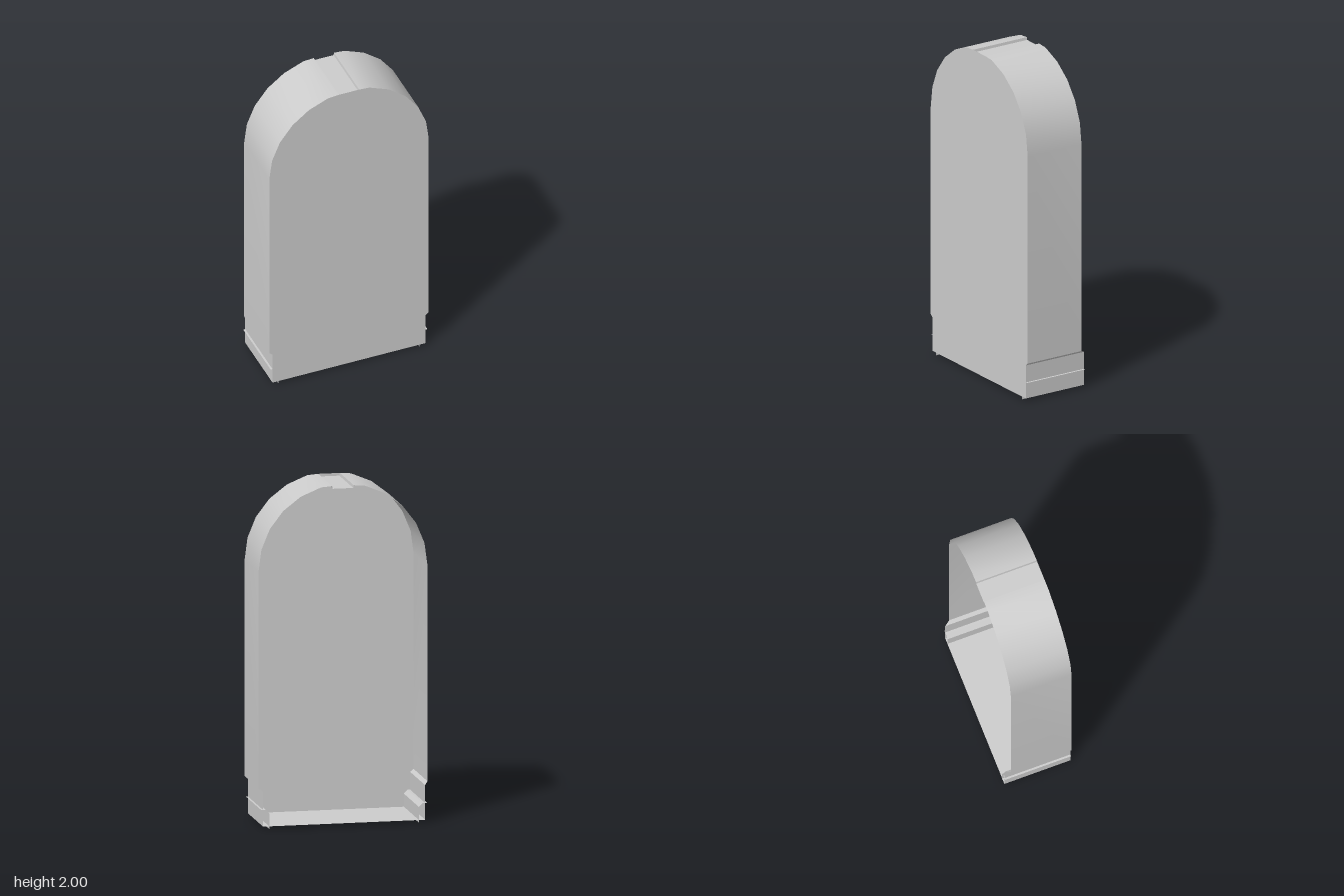
import * as THREE from 'three';
import { toCreasedNormals } from 'three/addons/utils/BufferGeometryUtils.js';

const FRONT = 0.204, BACK = -0.172, BASE_BACK = -0.204;

// Sheet running from the front plane to each point's own back depth: [x, y, zBack]
function sheet(points) {
  const pos = [], index = [];
  points.forEach(([x, y, z], i) => {
    pos.push(x, y, FRONT, x, y, z);
    if (i) {
      const a = 2 * i - 2;
      index.push(a, a + 1, a + 2, a + 2, a + 1, a + 3);
    }
  });
  const g = new THREE.BufferGeometry();
  g.setAttribute('position', new THREE.Float32BufferAttribute(pos, 3));
  g.setIndex(index);
  return toCreasedNormals(g, Math.PI / 6);
}

export function createModel() {
  const group = new THREE.Group();
  const grey = new THREE.MeshStandardMaterial({ color: 0xcccccc, side: THREE.DoubleSide });
  grey.name = 'light grey';
  const add = (name, geometry) => {
    const mesh = new THREE.Mesh(geometry, grey);
    mesh.name = name;
    group.add(mesh);
  };

  // Right half of the outline, from the base up to the flat crown
  const half = [[0.48, 0.016, BASE_BACK], [0.48, 0.22, BASE_BACK], [0.5, 0.237, BACK]];
  for (let i = 0; i <= 5; i++) {
    const a = i * Math.PI / 12;
    half.push([0.5 * Math.cos(a), 1.512 + 0.5 * Math.sin(a), BACK]);
  }
  half.push([0.064, 2, BACK]);
  const mirror = (pts) => pts.map(([x, y, z]) => [-x, y, z]).reverse();
  const outline = [...half, ...mirror(half)];

  // Front panel
  const shape = new THREE.Shape(outline.map(([x, y]) => new THREE.Vector2(x, y)));
  add('frontPanel', new THREE.ShapeGeometry(shape).translate(0, 0, FRONT));

  // Side walls and arch, with a shallow recess across the crown
  const recess = [[0.061, 1.984, BACK], [-0.061, 1.984, BACK]];
  add('archWall', sheet([...half, ...recess, ...mirror(half)]));

  // Floor
  add('floor', sheet([[-0.48, 0.016, BASE_BACK], [0.48, 0.016, BASE_BACK]]));

  // Curbs inside the base: ledge, bevel and inner face
  for (const [name, s] of [['leftCurb', 1], ['rightCurb', -1]]) {
    add(name, sheet([
      [s * 0.492, 0.115, BASE_BACK], [s * 0.465, 0.115, BASE_BACK],
      [s * 0.443, 0.093, BASE_BACK], [s * 0.443, 0, BASE_BACK],
    ].slice(0)));
  }
  return group;
}
